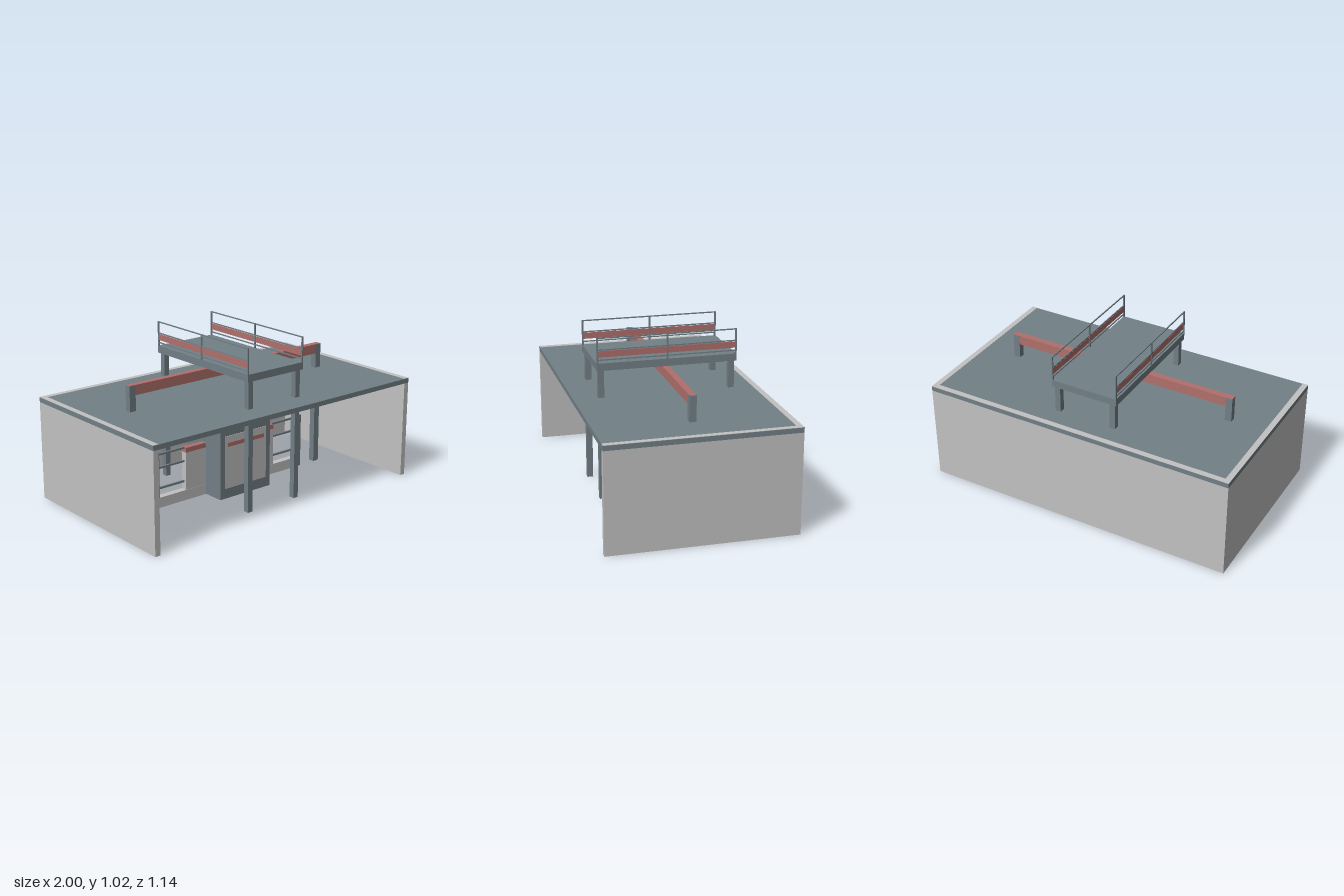
import * as THREE from 'three';

export function createModel() {
  const model = new THREE.Group();
  model.name = 'gateBuilding';
  const mat = (name, color) => {
    const m = new THREE.MeshStandardMaterial({ color });
    m.name = name;
    return m;
  };
  const slate = mat('slate steel', 0x728087);
  const grey = mat('pale concrete', 0xc2c2c2);
  const red = mat('dull red', 0xb0706c);

  // Box given by its minimum and maximum on each axis
  const box = (name, material, x0, x1, y0, y1, z0, z1, parent = model) => {
    const mesh = new THREE.Mesh(new THREE.BoxGeometry(x1 - x0, y1 - y0, z1 - z0), material);
    mesh.position.set((x0 + x1) / 2, (y0 + y1) / 2, (z0 + z1) / 2);
    mesh.name = name;
    parent.add(mesh);
    return mesh;
  };
  // Same box on the left and right
  const pair = (name, material, x0, x1, ...rest) => {
    box(name + 'Left', material, x0, x1, ...rest);
    box(name + 'Right', material, -x1, -x0, ...rest);
  };

  // Outer shell: two side walls, back wall, roof slab, pale edging on the roof
  const D = 0.57, roofY = 0.615, topY = 0.645;
  pair('sideWall', grey, 0.965, 1, 0, roofY, -D, D);
  box('backWall', grey, -0.965, 0.965, 0, roofY, -D, -D + 0.035);
  box('roofSlab', slate, -1, 1, roofY, topY, -D, D);
  pair('roofSideEdging', grey, 0.965, 1, topY, topY + 0.002, -D, D);
  box('roofBackEdging', grey, -0.965, 0.965, topY, topY + 0.002, -D, -D + 0.035);

  // Long red beam on two tall columns
  pair('beamColumn', slate, 0.715, 0.757, 0, 0.8, -0.02, 0.02);
  box('crossBeam', red, -0.715, 0.715, 0.74, 0.8, -0.018, 0.018);
  box('crossBeamCap', red, -0.757, 0.757, 0.8, 0.802, -0.02, 0.02);

  // Raised platform on four columns
  for (const z of [-0.402, 0.402])
    pair('platformColumn', slate, 0.167, 0.202, 0, 0.815, z - 0.018, z + 0.018);
  box('platformDeck', slate, -0.215, 0.215, 0.845, 0.86, -0.43, 0.43);
  pair('platformSideBeam', slate, 0.185, 0.215, 0.815, 0.845, -0.43, 0.43);
  for (const s of [-1, 1])
    box('platformEndBeam', slate, -0.185, 0.185, 0.815, 0.845, s * 0.415 - 0.015, s * 0.415 + 0.015);

  // Platform railings with a red board
  for (const z of [-0.425, 0, 0.425])
    pair('railingPost', slate, 0.208, 0.216, 0.86, 1.016, z - 0.005, z + 0.005);
  for (const y of [0.881, 0.942, 1.013])
    pair('railingBar', slate, 0.209, 0.215, y - 0.004, y + 0.003, -0.425, 0.425);
  pair('railingBoard', red, 0.21, 0.214, 0.897, 0.935, -0.42, 0.42);

  // Inner screen wall with open windows either side of the booth
  pair('screenBase', grey, 0.2, 0.575, 0, 0.065, -0.021, 0.021);
  pair('screenPanel', grey, 0.2, 0.355, 0.065, 0.305, -0.02, 0.02);
  pair('screenBand', red, 0.2, 0.355, 0.305, 0.335, -0.02, 0.02);
  pair('screenPost', slate, 0.555, 0.595, 0, 0.35, -0.02, 0.02);
  for (const y of [0.118, 0.248, 0.333])
    pair('windowBar', slate, 0.355, 0.555, y - 0.006, y + 0.006, -0.006, 0.006);

  // Central booth with a pale front panel and a red strip
  const booth = new THREE.Group();
  booth.name = 'booth';
  model.add(booth);
  box('boothBody', slate, -0.2, 0.2, 0, 0.435, -0.16, 0.16, booth);
  box('boothFrontPanel', grey, -0.165, 0.165, 0.065, 0.402, 0.16, 0.164, booth);
  box('boothStrip', red, -0.145, 0.145, 0.335, 0.36, 0.164, 0.168, booth);

  return model;
}
